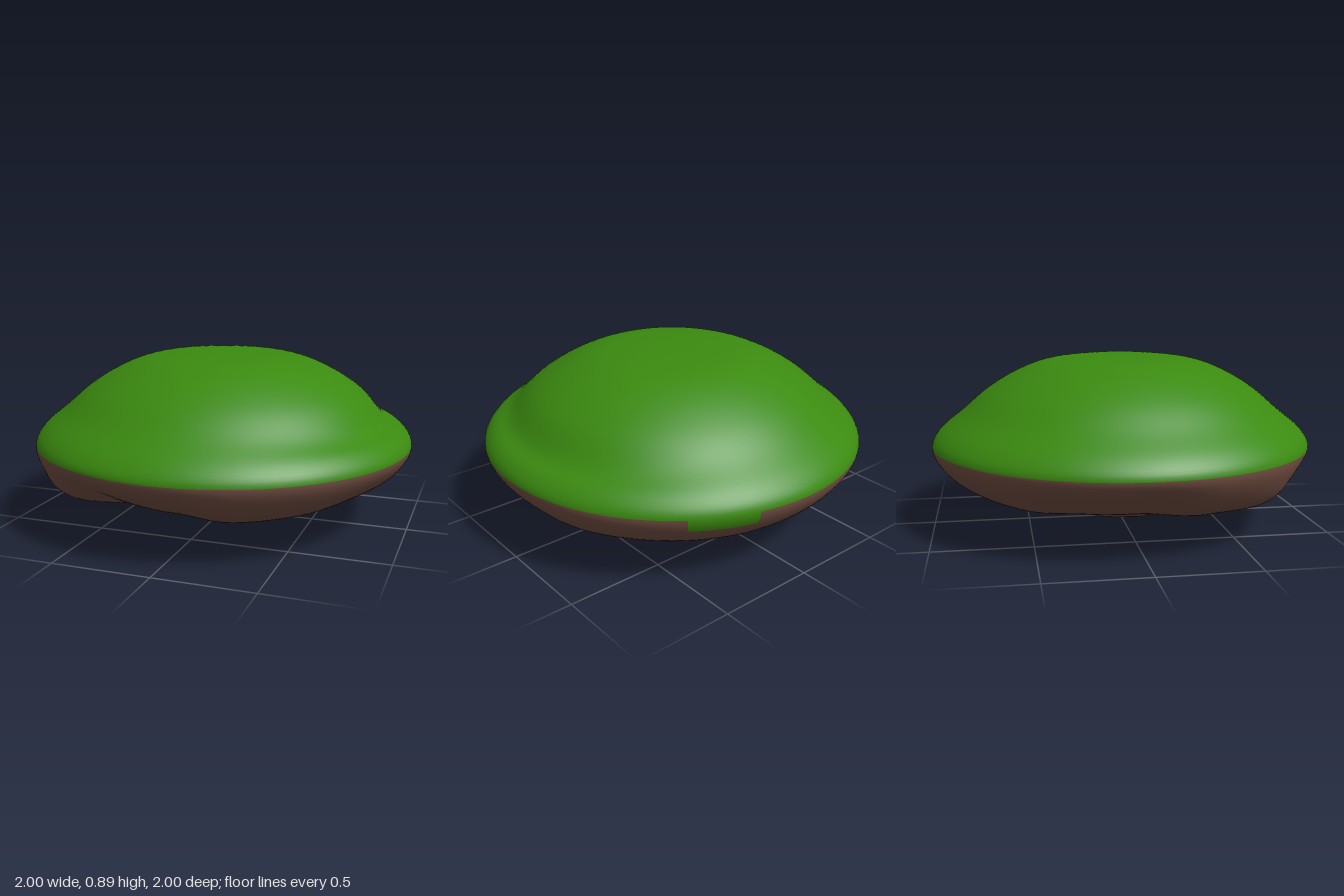
import * as THREE from 'three';

const SEG = 112, STEP = 5; // segments around, rows per profile key
const RIM = 7;             // profile key at the rim

// profiles as [radius, height], from the lowest tip over the rim to the summit
const TOP = [[1, 0.425], [0.955, 0.505], [0.84, 0.6], [0.71, 0.71], [0.56, 0.8], [0.4, 0.86], [0.2, 0.886], [0, 0.89]];
const LOBE = [[0, 0], [0.2, 0.035], [0.43, 0.125], [0.6, 0.153], [0.78, 0.182], [0.9, 0.245], [0.972, 0.335], ...TOP];
const GROOVE = [[0, 0], [0.17, 0.035], [0.34, 0.1], [0.48, 0.145], [0.64, 0.205], [0.8, 0.28], [0.94, 0.355], ...TOP];

// bulge of the underside every 22.5 degrees, from +x towards +z
const BULGE = [0.75, 0.6, 0.75, 0.8, 0.35, 0.25, 1.2, 0.9, 0.3, 0.4, 0.75, 0.75, 0.8, 0.85, 0.85, 0.9];

function bulgeAt(a) {
  const n = BULGE.length, f = (a / (2 * Math.PI)) * n, i = Math.floor(f);
  const s = THREE.MathUtils.smoothstep(f - i, 0, 1);
  return THREE.MathUtils.lerp(BULGE[i % n], BULGE[(i + 1) % n], s);
}

const spline = (keys) => new THREE.SplineCurve(keys.map(([r, y]) => new THREE.Vector2(r, y)));

export function createModel() {
  const group = new THREE.Group();
  group.name = 'floatingIsland';

  const rows = (LOBE.length - 1) * STEP;
  const lobe = spline(LOBE), groove = spline(GROOVE);
  const positions = [], grass = [], earth = [];

  // rings of the whole island, with a shallow hollow near the rim on the +x side
  for (let j = 0; j <= rows; j++) {
    const p = lobe.getPoint(j / rows), q = groove.getPoint(j / rows);
    for (let i = 0; i < SEG; i++) {
      const a = (i / SEG) * 2 * Math.PI, w = bulgeAt(a);
      const r = Math.max(0, Math.min(1, THREE.MathUtils.lerp(q.x, p.x, w)));
      let y = Math.max(0, THREE.MathUtils.lerp(q.y, p.y, w));
      if (j > RIM * STEP) {
        y -= 0.035 * Math.exp(-(((r - 0.86) / 0.07) ** 2)) * Math.max(0, Math.cos(a)) ** 3;
      }
      positions.push(r * Math.cos(a), y, r * Math.sin(a));
    }
  }

  // faces, sorted into grass and earth; one tuft of grass hangs over the rim
  for (let j = 0; j < rows; j++) {
    for (let i = 0; i < SEG; i++) {
      const k = (i + 1) % SEG, deg = (i / SEG) * 360;
      const tuft = j >= (RIM - 1) * STEP + 1 && deg > 284 && deg < 304;
      const a = j * SEG + i, b = a + SEG, c = j * SEG + k, d = c + SEG;
      (j >= RIM * STEP || tuft ? grass : earth).push(a, b, c, c, b, d);
    }
  }

  // shared smooth normals keep the rim round across the colour change
  const whole = new THREE.BufferGeometry();
  whole.setAttribute('position', new THREE.Float32BufferAttribute(positions, 3));
  whole.setIndex([...earth, ...grass]);
  whole.computeVertexNormals();

  const addPart = (name, index, color) => {
    const geometry = new THREE.BufferGeometry();
    geometry.setAttribute('position', whole.getAttribute('position'));
    geometry.setAttribute('normal', whole.getAttribute('normal'));
    geometry.setIndex(index);
    const mesh = new THREE.Mesh(geometry, new THREE.MeshStandardMaterial({ color }));
    mesh.name = name;
    group.add(mesh);
  };
  addPart('grassTop', grass, 0x3b8a10);
  addPart('earthBase', earth, 0x6b4a3e);
  return group;
}
